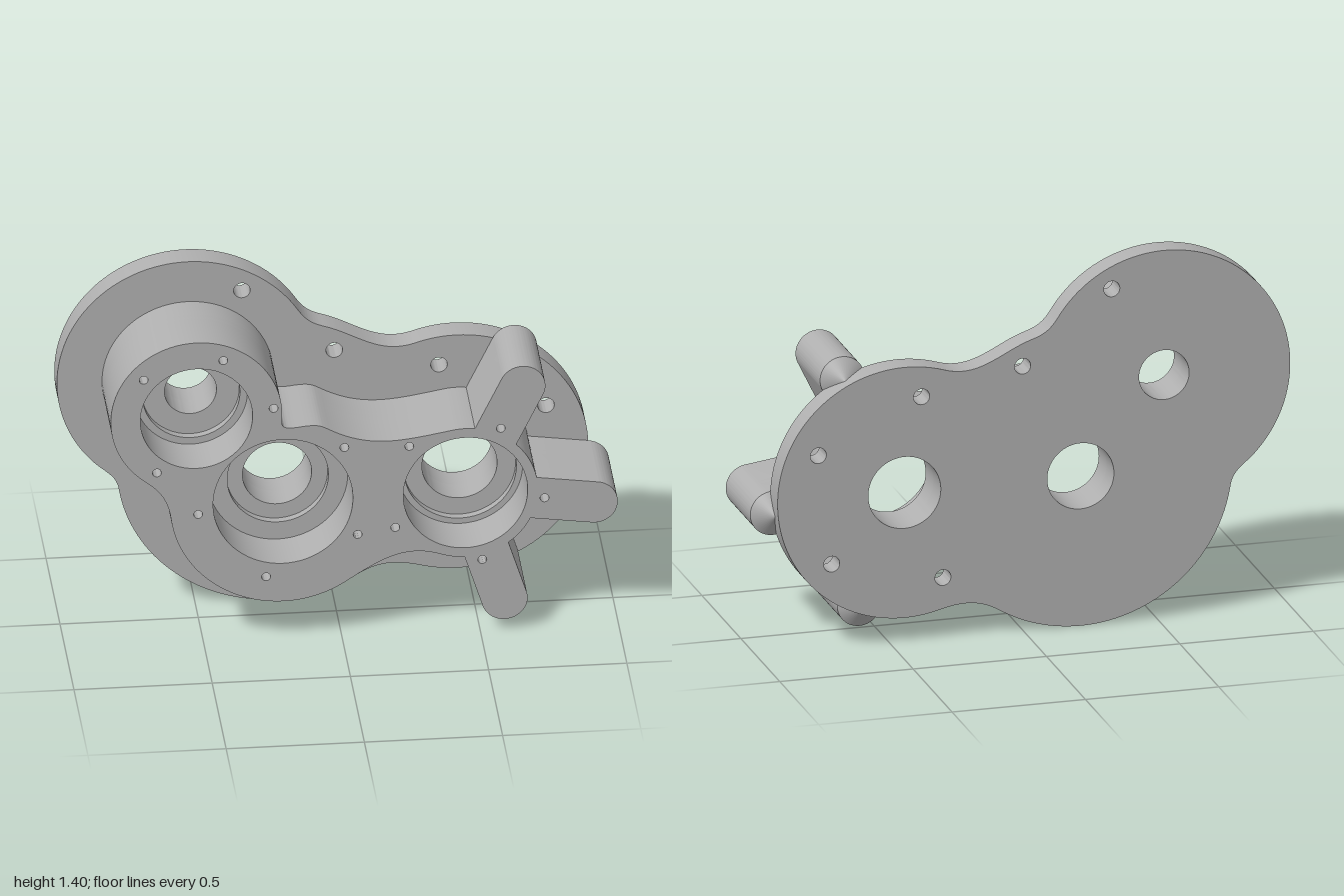
import * as THREE from 'three';
import { toCreasedNormals } from 'three/addons/utils/BufferGeometryUtils.js';

const rad = THREE.MathUtils.degToRad;
const BACK = -0.205, FLANGE = -0.11, FLOOR = -0.01, LEDGE = 0.02, FRONT = 0.205;

// The three shaft axes: position and the radii of through hole, ledge and bore
const A = { x: -0.527, y: 0.932, through: 0.094, ledge: 0.176, bore: 0.203 };
const B = { x: -0.214, y: 0.577, through: 0.125, ledge: 0.183, bore: 0.253 };
const C = { x: 0.446, y: 0.577, through: 0.136, ledge: 0.203, bore: 0.225 };
const shafts = [A, B, C];

// Clamp ribs radiating from the third shaft
const RIB_R = 0.083, HUB_R = 0.262;
const ribs = [[-72.2, 0.463], [-7.8, 0.472], [64, 0.47]].map(([deg, len]) => ({
  deg, x: C.x + len * Math.cos(rad(deg)), y: C.y + len * Math.sin(rad(deg)),
}));

// Closed outline of counterclockwise arcs, joined by blends or straight lines
function outline(arcs) {
  const shape = new THREE.Shape();
  const at = (c, r, d) => new THREE.Vector2(c.x + r * Math.cos(rad(d)), c.y + r * Math.sin(rad(d)));
  const tangent = (d) => new THREE.Vector2(-Math.sin(rad(d)), Math.cos(rad(d)));
  arcs.forEach(([c, r, from, to, blend], i) => {
    shape.absarc(c.x, c.y, r, rad(from), rad(to), false);
    if (!blend) return;
    const [nc, nr, nFrom] = arcs[(i + 1) % arcs.length];
    const p = at(c, r, to), q = at(nc, nr, nFrom), k = 0.4 * p.distanceTo(q);
    const c1 = p.clone().addScaledVector(tangent(to), k);
    const c2 = q.clone().addScaledVector(tangent(nFrom), -k);
    shape.bezierCurveTo(c1.x, c1.y, c2.x, c2.y, q.x, q.y);
  });
  return shape;
}

function flangeOutline() {
  return outline([
    [A, 0.473, 33, 224, true],
    [B, 0.569, 189, 302, true],
    [C, 0.476, 255, 468, true],
    [B, 0.567, 63, 72, true],
  ]);
}

function bodyOutline() {
  const half = THREE.MathUtils.radToDeg(Math.asin(RIB_R / HUB_R));
  const arcs = [
    [A, 0.31, -5, 233, true],
    [B, 0.408, 187.5, 303, true],
  ];
  let from = -110;
  for (const rib of ribs) {
    arcs.push([C, HUB_R, from, rib.deg - half], [rib, RIB_R, rib.deg - 90, rib.deg + 90]);
    from = rib.deg + half;
  }
  arcs.push([C, HUB_R, from, 100, true], [B, 0.33, 60, 64, true]);
  return outline(arcs);
}

// Slab between two depths with round holes [x, y, r]
function slab(shape, holes, z0, z1) {
  for (const [x, y, r] of holes) {
    const path = new THREE.Path();
    path.absarc(x, y, r, 0, Math.PI * 2, true);
    shape.holes.push(path);
  }
  const geo = new THREE.ExtrudeGeometry(shape, { depth: z1 - z0, bevelEnabled: false, curveSegments: 36 });
  geo.translate(0, 0, z0);
  return toCreasedNormals(geo, rad(30));
}

export function createModel() {
  const group = new THREE.Group();
  const metal = new THREE.MeshStandardMaterial({ color: 0xb0b0b0 });
  metal.name = 'grey metal';
  const add = (name, geo) => {
    const mesh = new THREE.Mesh(geo, metal);
    mesh.name = name;
    group.add(mesh);
    return mesh;
  };
  const shaftHoles = (key) => shafts.map((s) => [s.x, s.y, s[key]]);

  // Mounting flange with its bolt holes
  const boltHoles = [[-0.331, 1.277], [0.003, 1.015], [0.382, 0.935], [0.769, 0.748], [0.719, 0.331], [0.302, 0.24]]
    .map(([x, y]) => [x, y, 0.03]);
  add('flange', slab(flangeOutline(), [...shaftHoles('through'), ...boltHoles], BACK, FLANGE));

  // Housing in three layers: through holes, bearing ledges, bores with screw holes
  const screwHoles = [
    [-0.718, 1.1], [-0.43, 1.164], [-0.248, 0.959], [-0.67, 0.718],
    [0.008, 0.785], [-0.275, 0.272], [-0.521, 0.54], [0.056, 0.427],
    [0.243, 0.777], [0.574, 0.833], [0.732, 0.54], [0.507, 0.3], [0.192, 0.448],
  ].map(([x, y]) => [x, y, 0.016]);
  add('housingFloor', slab(bodyOutline(), shaftHoles('through'), FLANGE, FLOOR));
  add('bearingLedge', slab(bodyOutline(), shaftHoles('ledge'), FLOOR, LEDGE));
  add('housingBores', slab(bodyOutline(), [...shaftHoles('bore'), ...screwHoles], LEDGE, FRONT));

  // Conical tips behind the rib ends
  for (const rib of ribs) {
    const cone = new THREE.ConeGeometry(RIB_R, 0.05, 40);
    cone.rotateX(-Math.PI / 2);
    add('ribTip', cone).position.set(rib.x, rib.y, FLANGE - 0.025);
  }
  return group;
}
